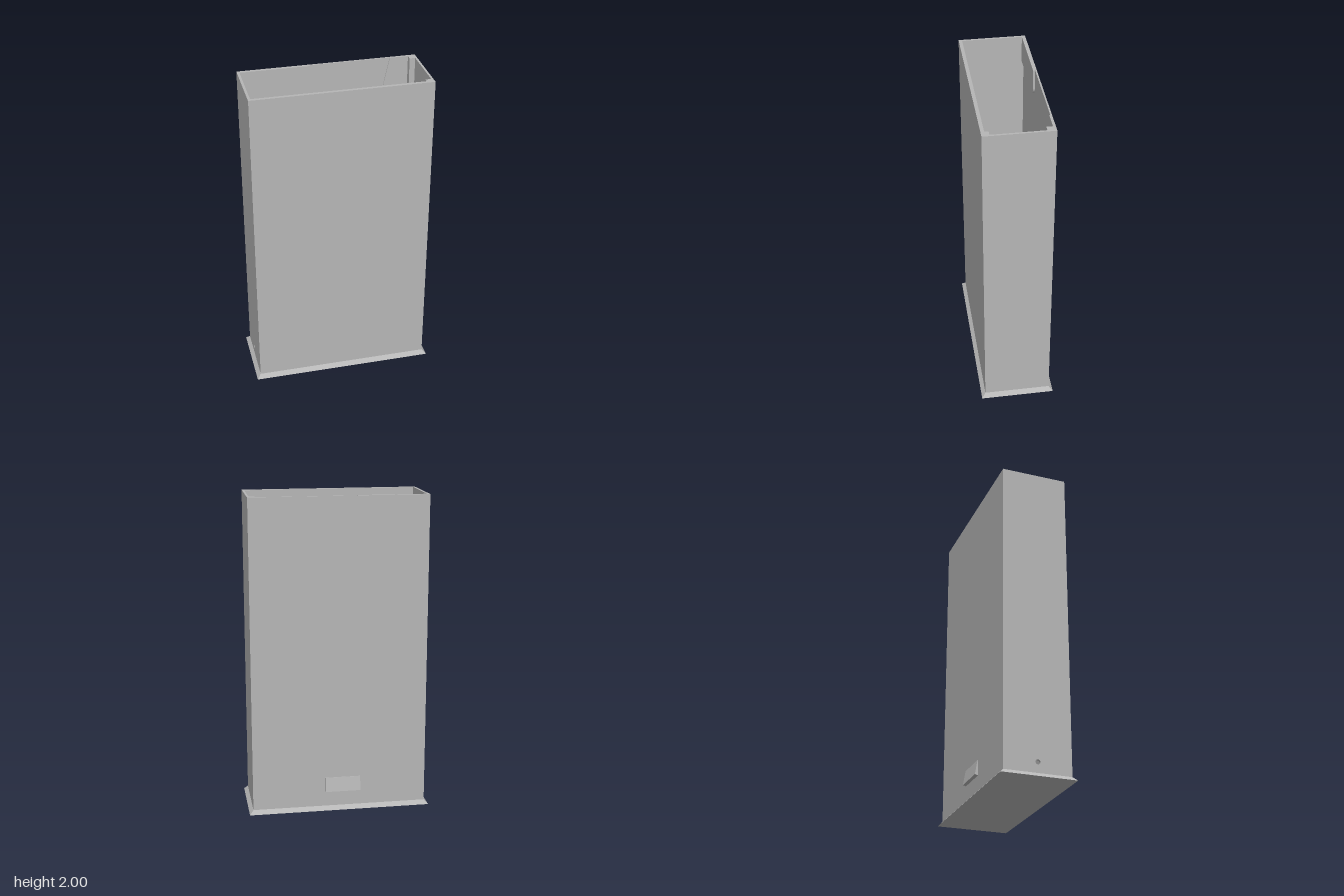
import * as THREE from 'three';

export function createModel() {
  const model = new THREE.Group();
  const grey = new THREE.MeshStandardMaterial({ color: 0xb6b6b6 });
  grey.name = 'plain grey';

  const W = 0.553, D = 0.208; // half width and half depth of the case
  const BASE = 0.025, TOP = 2;

  function add(name, geometry) {
    const mesh = new THREE.Mesh(geometry, grey);
    mesh.name = name;
    model.add(mesh);
    return mesh;
  }

  // Box given by its limits on each axis
  function block(name, x0, x1, y0, y1, z0, z1) {
    const g = new THREE.BoxGeometry(x1 - x0, y1 - y0, z1 - z0);
    g.translate((x0 + x1) / 2, (y0 + y1) / 2, (z0 + z1) / 2);
    return add(name, g);
  }

  // Bevelled foot: a box whose upper corners are drawn in to the case
  const foot = new THREE.BoxGeometry(1.154, BASE, 0.464);
  foot.translate(0, BASE / 2, 0);
  const p = foot.attributes.position;
  for (let i = 0; i < p.count; i++) {
    if (p.getY(i) > BASE / 2) {
      p.setX(i, Math.sign(p.getX(i)) * W);
      p.setZ(i, Math.sign(p.getZ(i)) * D);
    }
  }
  foot.computeVertexNormals();
  add('foot', foot);

  // Open-topped case
  block('floor', -W + 0.015, W - 0.013, BASE, 0.04, -0.198, 0.187);
  block('frontWall', -W, W, BASE, TOP, 0.187, D);
  block('backWall', -W, W, BASE, TOP, -D, -0.198);
  block('leftWall', W - 0.013, W, BASE, TOP, -0.198, 0.187);

  // Right wall with a round cable hole near the foot
  const side = new THREE.Shape();
  side.moveTo(-0.187, BASE);
  side.lineTo(0.198, BASE);
  side.lineTo(0.198, TOP);
  side.lineTo(-0.187, TOP);
  side.closePath();
  const hole = new THREE.Path();
  hole.absarc(0, 0.09, 0.015, 0, Math.PI * 2, true);
  side.holes.push(hole);
  const sideGeometry = new THREE.ExtrudeGeometry(side, { depth: 0.015, bevelEnabled: false, curveSegments: 16 });
  sideGeometry.rotateY(Math.PI / 2);
  sideGeometry.translate(-W, 0, 0);
  add('rightWall', sideGeometry);

  // Corner posts leaving a channel along the left wall
  block('frontPost', 0.505, W - 0.013, 0.04, TOP, 0.163, 0.187);
  block('backPost', 0.505, W - 0.013, 0.04, TOP, -0.198, -0.155);

  // Inner pad on the back wall, with a rounded lower corner
  const pad = new THREE.Shape();
  pad.moveTo(-0.538, TOP);
  pad.lineTo(-0.538, 1.83);
  pad.lineTo(-0.16, 1.83);
  pad.absarc(-0.16, 1.88, 0.05, -Math.PI / 2, 0, false);
  pad.lineTo(-0.11, TOP);
  pad.closePath();
  const padGeometry = new THREE.ExtrudeGeometry(pad, { depth: 0.012, bevelEnabled: false });
  padGeometry.translate(0, 0, -0.198);
  add('innerPad', padGeometry);

  // Thin inner lining with a slanted edge
  const lining = new THREE.Shape();
  lining.moveTo(0.165, 0.95);
  lining.lineTo(0.505, 0.95);
  lining.lineTo(0.505, TOP);
  lining.lineTo(0.39, TOP);
  lining.closePath();
  const liningGeometry = new THREE.ExtrudeGeometry(lining, { depth: 0.006, bevelEnabled: false });
  liningGeometry.translate(0, 0, -0.198);
  add('innerLining', liningGeometry);

  // Wedge-shaped hood on the back
  const hood = new THREE.Shape();
  hood.moveTo(D, 0.12);
  hood.lineTo(0.228, 0.125);
  hood.lineTo(0.212, 0.215);
  hood.lineTo(D, 0.215);
  hood.closePath();
  const hoodGeometry = new THREE.ExtrudeGeometry(hood, { depth: 0.222, bevelEnabled: false });
  hoodGeometry.rotateY(Math.PI / 2);
  hoodGeometry.translate(-0.132, 0, 0);
  add('backHood', hoodGeometry);

  return model;
}
